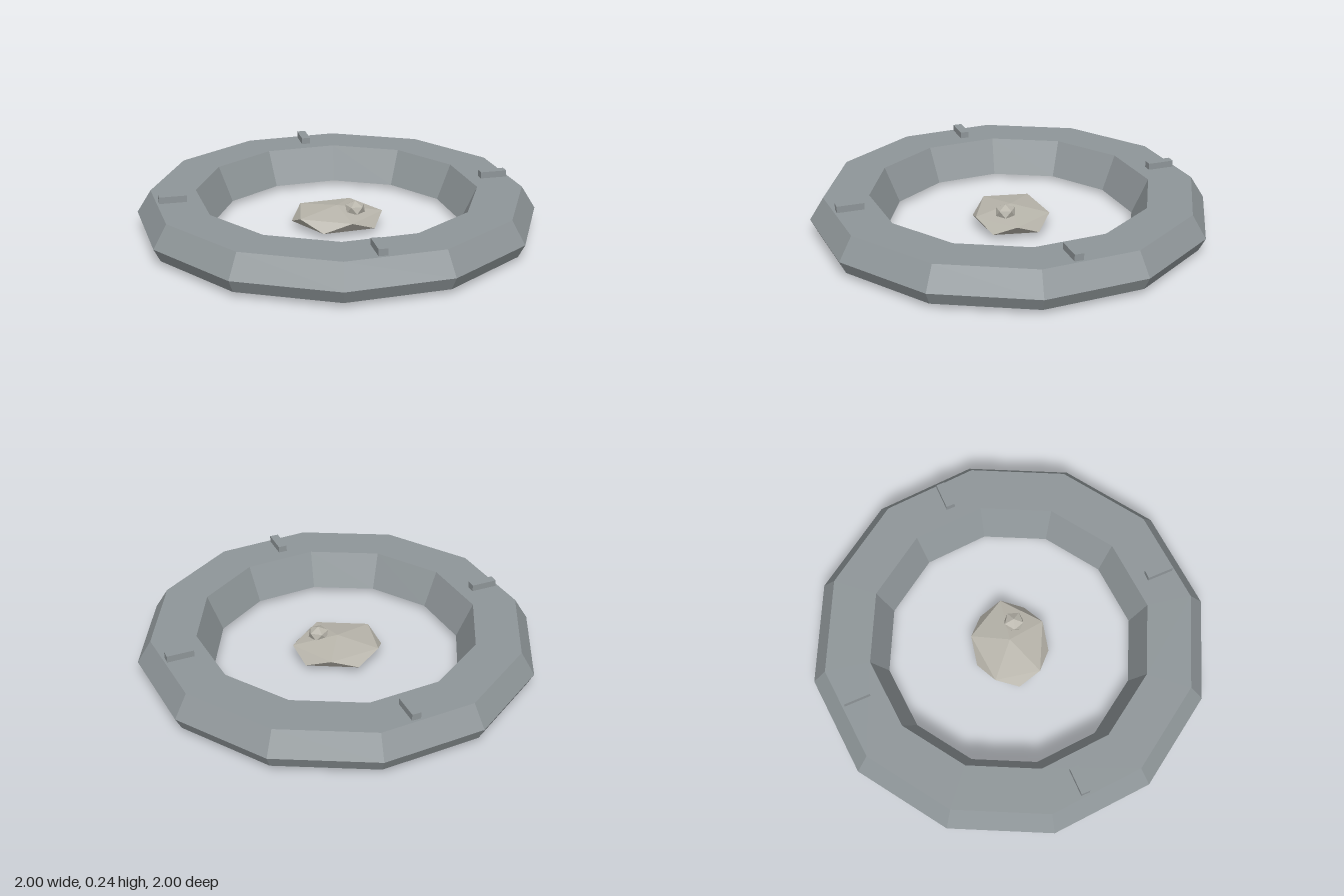
import * as THREE from 'three';
import { ConvexGeometry } from 'three/addons/geometries/ConvexGeometry.js';

// Faceted normals for low-poly surfaces
function faceted(geometry) {
  const g = geometry.toNonIndexed();
  g.computeVertexNormals();
  return g;
}

// Icosahedral stone with one corner up: two staggered pentagons and two tips
function stoneGeometry(rx, ry, rz) {
  const points = [new THREE.Vector3(0, ry, 0), new THREE.Vector3(0, -ry, 0)];
  const ring = 2 / Math.sqrt(5);
  for (let i = 0; i < 10; i++) {
    const a = (i * Math.PI) / 5;
    const y = (i % 2 ? -1 : 1) / Math.sqrt(5);
    points.push(new THREE.Vector3(rx * ring * Math.cos(a), ry * y, rz * ring * Math.sin(a)));
  }
  return new ConvexGeometry(points);
}

export function createModel() {
  const group = new THREE.Group();
  const ringGrey = new THREE.MeshStandardMaterial({ color: 0x8f9699 });
  ringGrey.name = 'ringGrey';
  const paleStone = new THREE.MeshStandardMaterial({ color: 0xb8b5ab });
  paleStone.name = 'paleStone';

  const add = (name, geometry, material, x = 0, y = 0, z = 0, turn = 0) => {
    const mesh = new THREE.Mesh(geometry, material);
    mesh.name = name;
    mesh.position.set(x, y, z);
    mesh.rotation.y = turn;
    group.add(mesh);
  };

  // Twelve-sided ring with bevelled rim and a sloping inner wall
  const profile = [
    [0.625, 0.025], [0.967, 0.025], [1, 0.09],
    [0.93, 0.203], [0.705, 0.203], [0.625, 0.025],
  ].map(([r, y]) => new THREE.Vector2(r, y));
  add('ring', faceted(new THREE.LatheGeometry(profile, 12)), ringGrey);

  // Four radial blocks on top of the ring
  const block = new THREE.BoxGeometry(0.045, 0.045, 0.135);
  for (let i = 0; i < 4; i++) {
    const a = 0.2 + (i * Math.PI) / 2;
    add('block' + (i + 1), block, ringGrey, 0.82 * Math.sin(a), 0.2135, 0.82 * Math.cos(a), a);
  }

  // Flattened stone in the centre with a pebble resting on it
  add('centreStone', stoneGeometry(0.255, 0.0575, 0.218), paleStone, 0, 0.0575, 0);
  add('pebble', stoneGeometry(0.055, 0.038, 0.055), paleStone, 0.09, 0.112, 0.04, 0.5);

  return group;
}
